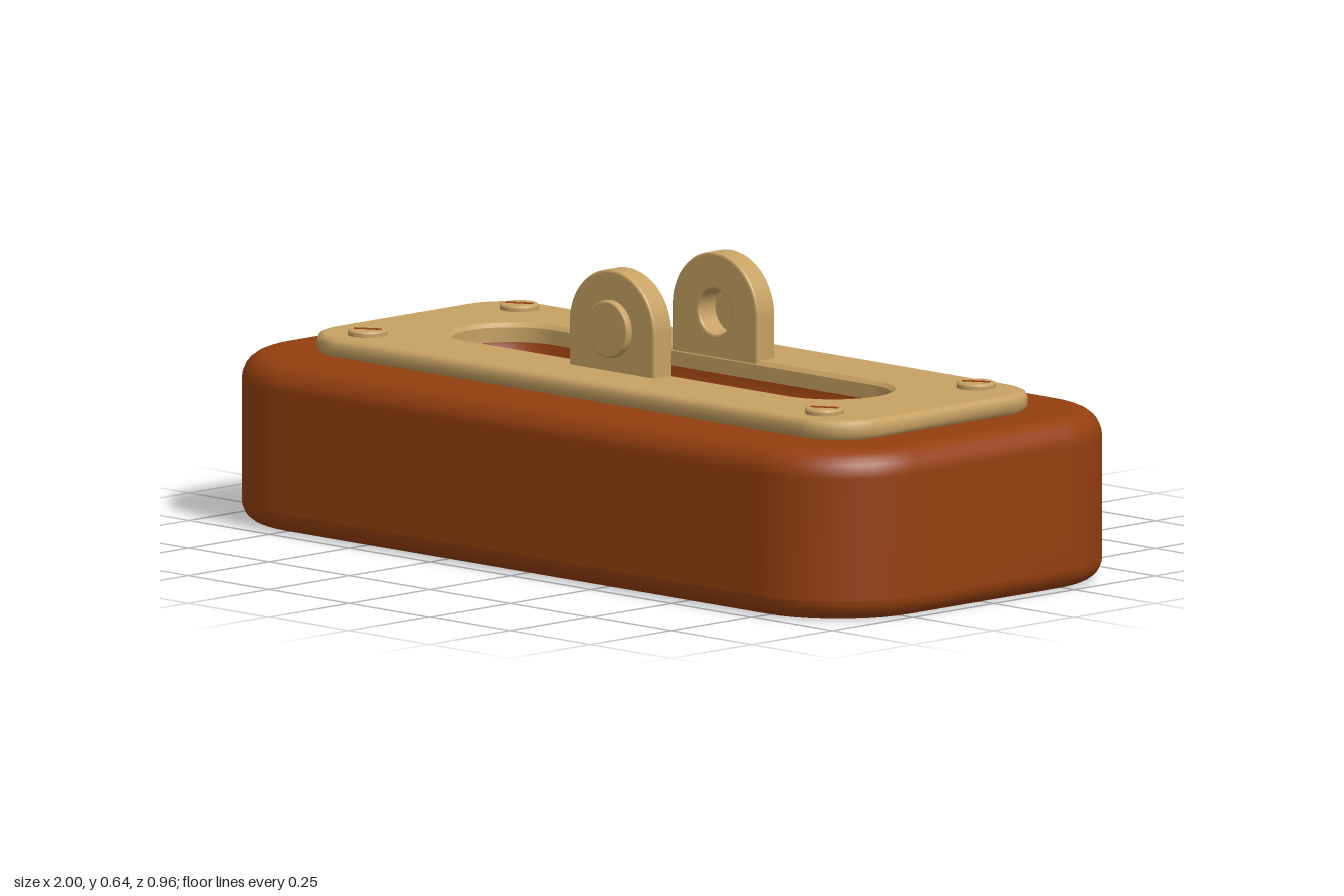
import * as THREE from 'three';

const wood = new THREE.MeshStandardMaterial({ name: 'reddish wood', color: 0x943f0f });
const brass = new THREE.MeshStandardMaterial({ name: 'brass', color: 0xc6a163 });

const TOP = 0.375;    // top of the wooden block
const PLATE = 0.417;  // top of the plate

// Rounded rectangle at height y, anticlockwise from above
function ring(hx, hz, r, y, seg = 10) {
  const pts = [];
  for (let c = 0; c < 4; c++) {
    const sx = c === 0 || c === 3 ? 1 : -1, sz = c < 2 ? -1 : 1;
    for (let i = 0; i <= seg; i++) {
      const t = (c + i / seg) * Math.PI / 2;
      pts.push([sx * (hx - r) + r * Math.cos(t), y, sz * (hz - r) - r * Math.sin(t)]);
    }
  }
  return pts;
}

// Skin over a list of rings; a repeated ring makes a sharp edge
function loft(rings) {
  const n = rings[0].length, index = [];
  for (let k = 0; k < rings.length - 1; k++) {
    for (let i = 0; i < n; i++) {
      const a = k * n + i, b = k * n + (i + 1) % n;
      index.push(a, b, b + n, a, b + n, a + n);
    }
  }
  const geo = new THREE.BufferGeometry();
  geo.setAttribute('position', new THREE.Float32BufferAttribute(rings.flat(2), 3));
  geo.setIndex(index);
  geo.computeVertexNormals();
  return geo;
}

function add(parent, name, geo, mat, x = 0, y = 0, z = 0) {
  const mesh = new THREE.Mesh(geo, mat);
  mesh.name = name;
  mesh.position.set(x, y, z);
  parent.add(mesh);
  return mesh;
}

// Wooden block with rounded edges and a scooped slot in the top
function blockGeometry() {
  const hx = 1, hz = 0.482, r = 0.25, low = 0.045, high = 0.058, steps = 6;
  const inset = (d, y) => ring(hx - d, hz - d, r - d, y);
  const rings = [ring(0, 0, 0, 0), inset(low, 0), inset(low, 0)];
  for (let i = 1; i <= steps; i++) {
    const t = i / steps * Math.PI / 2;
    rings.push(inset(low * (1 - Math.sin(t)), low * (1 - Math.cos(t))));
  }
  rings.push(inset(0, low));
  for (let i = 0; i <= steps; i++) {
    const t = i / steps * Math.PI / 2;
    rings.push(inset(high * (1 - Math.cos(t)), TOP - high * (1 - Math.sin(t))));
  }
  rings.push(inset(high, TOP), ring(0.63, 0.13, 0.13, TOP));
  for (let i = 0; i <= steps; i++) {
    const t = i / steps * Math.PI / 2, w = 0.13 * Math.cos(t);
    rings.push(ring(0.5 + w, w, w, TOP - 0.08 * Math.sin(t)));
  }
  return loft(rings);
}

// Slotted plate with softened edges inside and out
function plateGeometry() {
  const outer = (d, y) => ring(0.85 - d, 0.325 - d, 0.12 - d, y);
  const inner = (d, y) => ring(0.63 + d, 0.13 + d, 0.13 + d, y);
  const b = 0.015, m = b * 0.3, rings = [];
  rings.push(inner(0, TOP), outer(b * 0.6, TOP), outer(b * 0.6, TOP), outer(0, TOP + 0.01));
  rings.push(outer(0, PLATE - b), outer(m, PLATE - m), outer(b, PLATE), outer(b, PLATE));
  rings.push(inner(b * 0.6, PLATE), inner(b * 0.6, PLATE));
  rings.push(inner(0, PLATE - b * 0.6), inner(0, PLATE - b * 0.6), inner(0, TOP));
  return loft(rings);
}

// Arched lug with a pin hole, lying in the xy plane
function lugGeometry() {
  const bevel = 0.005, w = 0.132 - bevel, cy = 0.51;
  const shape = new THREE.Shape();
  shape.moveTo(-w, PLATE - 0.008);
  shape.lineTo(w, PLATE - 0.008);
  shape.lineTo(w, cy);
  shape.absarc(0, cy, w, 0, Math.PI, false);
  shape.closePath();
  const hole = new THREE.Path();
  hole.absarc(0, cy, 0.05 + bevel, 0, Math.PI * 2, true);
  shape.holes.push(hole);
  return new THREE.ExtrudeGeometry(shape, {
    depth: 0.056 - 2 * bevel, bevelThickness: bevel, bevelSize: bevel, bevelSegments: 2, curveSegments: 28,
  }).translate(0, 0, 0.132 + bevel);
}

// Flat round head with a softened rim, standing on y = 0
function headGeometry(radius, height, soft) {
  const profile = [[radius, 0], [radius, height - soft], [radius, height - soft],
    [radius - soft * 0.3, height - soft * 0.3], [radius - soft, height], [radius - soft, height], [0, height]];
  return new THREE.LatheGeometry(profile.map(([x, y]) => new THREE.Vector2(x, y)), 32);
}

export function createModel() {
  const model = new THREE.Group();
  model.name = 'slottedBlock';
  add(model, 'woodenBlock', blockGeometry(), wood);
  add(model, 'slottedPlate', plateGeometry(), brass);

  // Pair of facing lugs, each with a pin cap outside
  const lug = lugGeometry();
  const cap = headGeometry(0.064, 0.018, 0.004).rotateX(Math.PI / 2);
  const capBack = new THREE.CircleGeometry(0.064, 32).rotateY(Math.PI);
  for (const [name, turn] of [['frontLug', 0], ['backLug', Math.PI]]) {
    const side = new THREE.Group();
    side.name = name;
    side.rotation.y = turn;
    add(side, 'arch', lug, brass);
    add(side, 'pinCap', cap, brass, 0, 0.512, 0.186);
    add(side, 'pinCapBack', capBack, brass, 0, 0.512, 0.1865);
    model.add(side);
  }

  // Corner screws with diagonal slots
  const head = headGeometry(0.043, 0.013, 0.005);
  const slot = new THREE.BoxGeometry(0.062, 0.002, 0.013);
  for (const x of [-0.71, 0.71]) {
    for (const z of [-0.235, 0.235]) {
      const screw = new THREE.Group();
      screw.name = 'screw';
      screw.position.set(x, PLATE, z);
      screw.rotation.y = 0.52;
      add(screw, 'screwHead', head, brass);
      add(screw, 'screwSlot', slot, wood, 0, 0.0132, 0);
      model.add(screw);
    }
  }
  return model;
}
